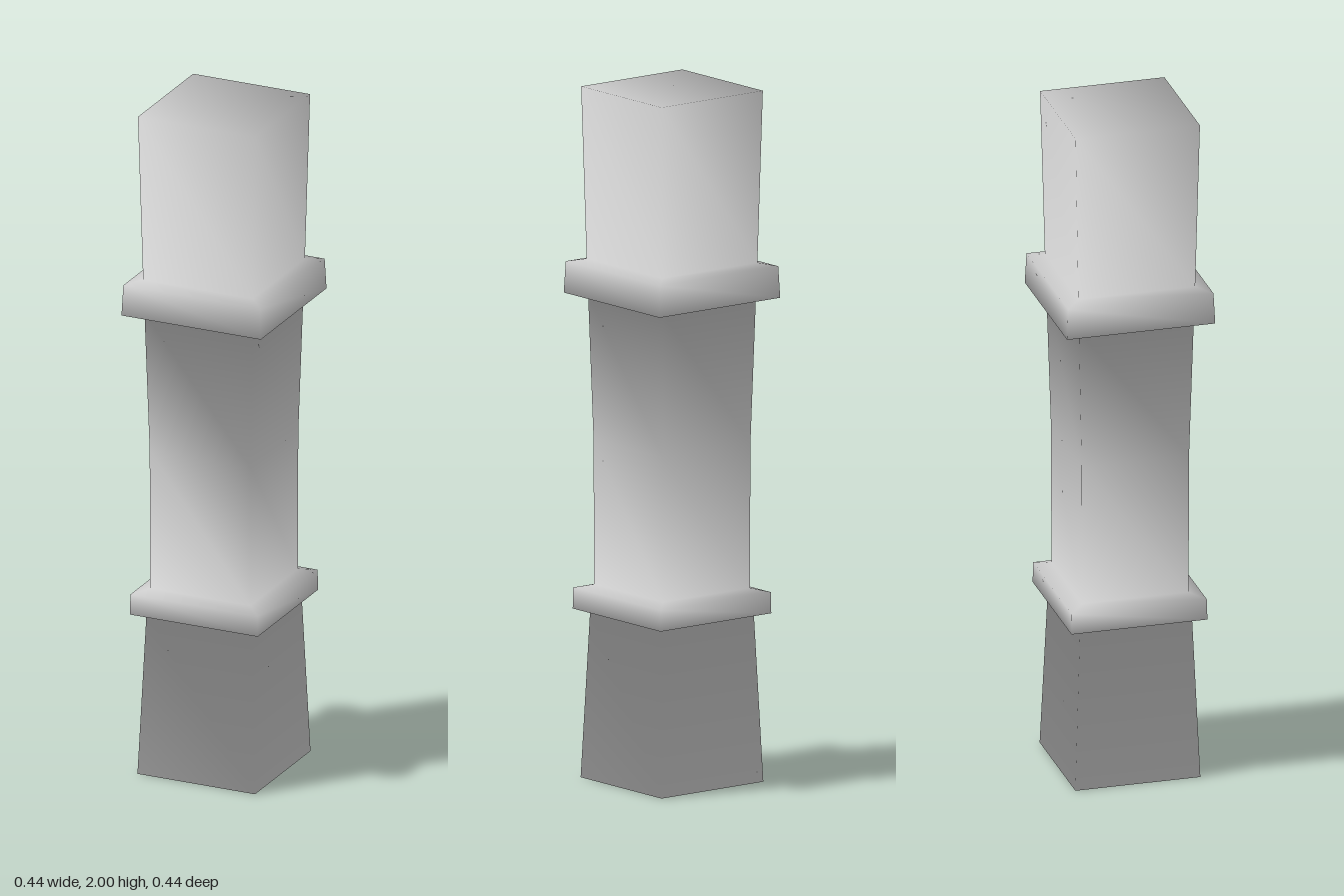
import * as THREE from 'three';

// Square cross-sections from the ground up: [height, half width]
const SECTIONS = [
  [0, 0.184], [0.48, 0.165],                            // flared base
  [0.488, 0.2], [0.549, 0.199], [0.56, 0.157],          // lower collar
  [0.98, 0.158], [1.4, 0.169],                          // shaft
  [1.402, 0.218], [1.493, 0.214], [1.502, 0.172],       // upper collar
  [2, 0.183],                                           // flared head
];
const CORNERS = [[-1, 1], [1, 1], [1, -1], [-1, -1]];

// Smooth vertex normals, each face weighted by its corner angle
function smoothByAngle(geometry) {
  const pos = geometry.attributes.position;
  const index = geometry.index.array;
  const normals = Array.from({ length: pos.count }, () => new THREE.Vector3());
  const point = (i) => new THREE.Vector3().fromBufferAttribute(pos, i);
  for (let t = 0; t < index.length; t += 3) {
    for (let k = 0; k < 3; k++) {
      const i = index[t + k];
      const p = point(i);
      const u = point(index[t + (k + 1) % 3]).sub(p);
      const v = point(index[t + (k + 2) % 3]).sub(p);
      const n = u.clone().cross(v).normalize();
      normals[i].addScaledVector(n, u.angleTo(v));
    }
  }
  const flat = normals.flatMap((n) => n.normalize().toArray());
  geometry.setAttribute('normal', new THREE.Float32BufferAttribute(flat, 3));
}

// Closed skin through the square sections
function loftSquares(sections) {
  const positions = [];
  const indices = [];
  for (const [y, half] of sections) {
    for (const [x, z] of CORNERS) positions.push(x * half, y, z * half);
  }
  for (let s = 0; s < sections.length - 1; s++) {
    for (let c = 0; c < 4; c++) {
      const bl = s * 4 + c;
      const br = s * 4 + (c + 1) % 4;
      const tl = bl + 4;
      const tr = br + 4;
      indices.push(tl, bl, br, tl, br, tr);
    }
  }
  // End caps
  const top = (sections.length - 1) * 4;
  indices.push(0, 2, 1, 0, 3, 2);
  indices.push(top, top + 1, top + 2, top, top + 2, top + 3);

  const geometry = new THREE.BufferGeometry();
  geometry.setAttribute('position', new THREE.Float32BufferAttribute(positions, 3));
  geometry.setIndex(indices);
  smoothByAngle(geometry);
  return geometry;
}

export function createModel() {
  const model = new THREE.Group();
  model.name = 'squarePillar';
  const material = new THREE.MeshStandardMaterial({ color: 0xcccccc });
  const pillar = new THREE.Mesh(loftSquares(SECTIONS), material);
  pillar.name = 'pillarWithCollars';
  model.add(pillar);
  return model;
}
